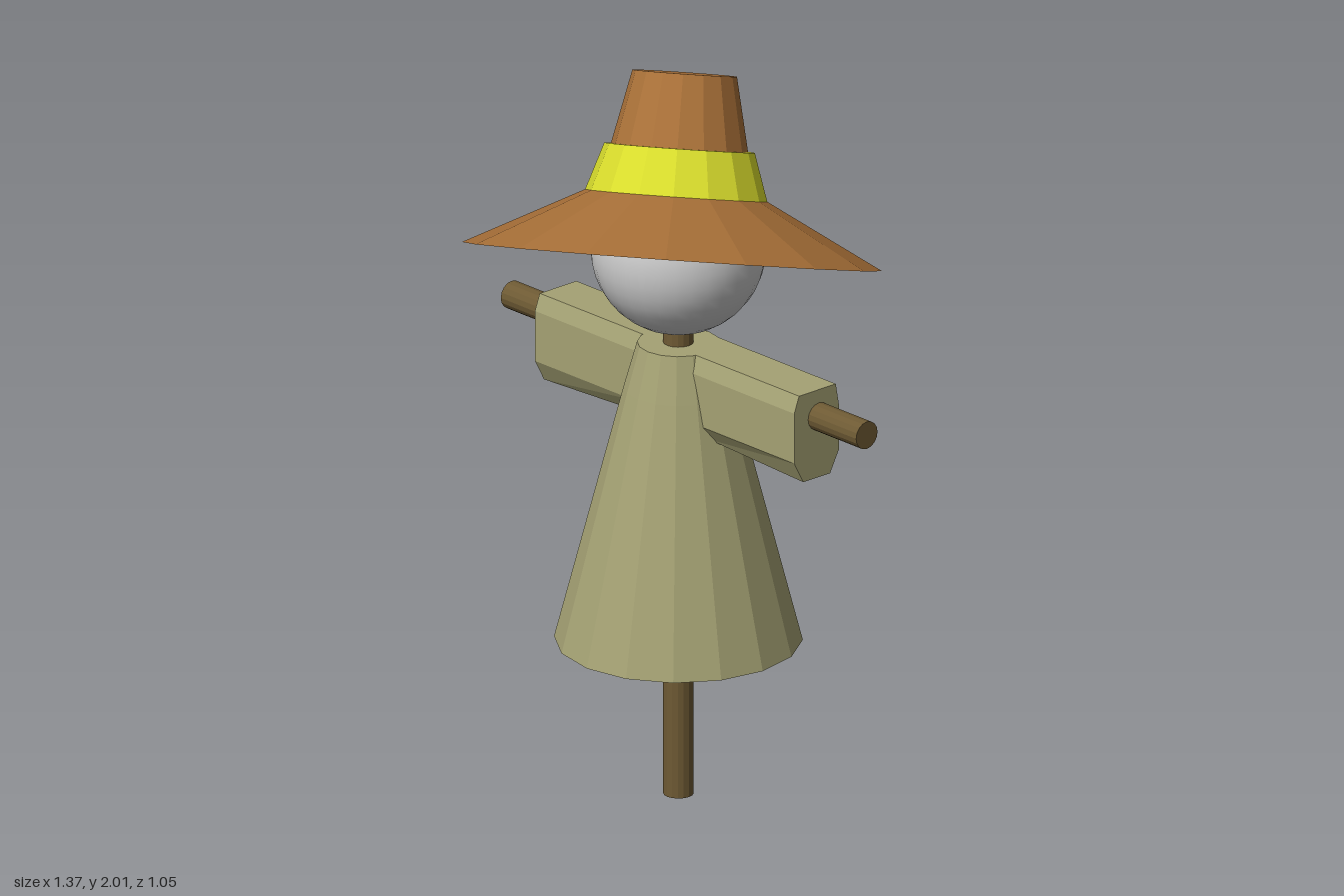
import * as THREE from 'three';

const mat = (color, flatShading = true) =>
  new THREE.MeshStandardMaterial({ color, flatShading, side: THREE.DoubleSide });
const wood = mat(0x6e5a34), cloth = mat(0xa5a274), straw = mat(0xa87038), yellow = mat(0xd8dc2c);
const AXIS_Z = -0.032;

function add(parent, name, geometry, material, x = 0, y = 0, z = 0) {
  const mesh = new THREE.Mesh(geometry, material);
  mesh.name = name;
  mesh.position.set(x, y, z);
  parent.add(mesh);
  return mesh;
}

// Sixteen-sided turned shape from [radius, height] pairs
const turned = (points) =>
  new THREE.LatheGeometry(points.map(([r, y]) => new THREE.Vector2(r, y)), 16);

// Faceted sleeve along x; its inner end is slanted to stay within the robe
function sleeveGeometry(side) {
  const profile = [[0, 1.265], [0.017, 1.22], [0.017, 1.08], [-0.015, 1.02],
    [-0.11, 1.02], [-0.142, 1.08], [-0.142, 1.2], [-0.13, 1.265]];
  const shape = new THREE.Shape(profile.map(([z, y]) => new THREE.Vector2(-z, y)));
  const length = 0.42;
  const g = new THREE.ExtrudeGeometry(shape, { depth: length, bevelEnabled: false });
  g.rotateY(Math.PI / 2);
  g.translate(side > 0 ? 0.08 : -0.5, 0, 0);
  const p = g.attributes.position;
  for (let i = 0; i < p.count; i++) {
    if (Math.abs(p.getX(i)) > 0.2) continue;
    const y = Math.max(p.getY(i), 1.035);
    p.setX(i, side * (0.04 + (1.265 - y) * 0.4));
    p.setY(i, y);
  }
  g.computeVertexNormals();
  return g;
}

export function createModel() {
  const model = new THREE.Group();
  model.name = 'scarecrow';

  // Wooden frame
  add(model, 'pole', new THREE.CylinderGeometry(0.04, 0.04, 1.36, 16), wood, 0, 0.68, AXIS_Z);
  const bar = add(model, 'crossbar', new THREE.CylinderGeometry(0.038, 0.038, 1.37, 16), wood, 0, 1.19, -0.07);
  bar.rotation.z = Math.PI / 2;

  // Robe, open at the hem and closed at the shoulders
  add(model, 'robe', turned([[0.325, 0.435], [0.143, 1.14], [0.108, 1.265], [0, 1.265]]), cloth, 0, 0, AXIS_Z);
  add(model, 'leftSleeve', sleeveGeometry(1), cloth);
  add(model, 'rightSleeve', sleeveGeometry(-1), cloth);

  // Smooth round head
  add(model, 'head', new THREE.SphereGeometry(0.23, 32, 20), mat(0xcccccc, false), 0, 1.53, AXIS_Z);

  // Hat, tipped back and to one side
  const hat = new THREE.Group();
  hat.name = 'hat';
  hat.position.set(0.01, 1.515, 0);
  hat.quaternion.setFromUnitVectors(
    new THREE.Vector3(0, 1, 0), new THREE.Vector3(-0.223, 1, -0.305).normalize());
  add(hat, 'brimAndCrown', turned([[0.55, 0], [0.203, 0.178], [0.137, 0.48], [0, 0.48]]), straw);
  add(hat, 'hatBand', turned([[0.245, 0.14], [0.197, 0.285], [0.178, 0.285]]), yellow);
  model.add(hat);

  return model;
}
